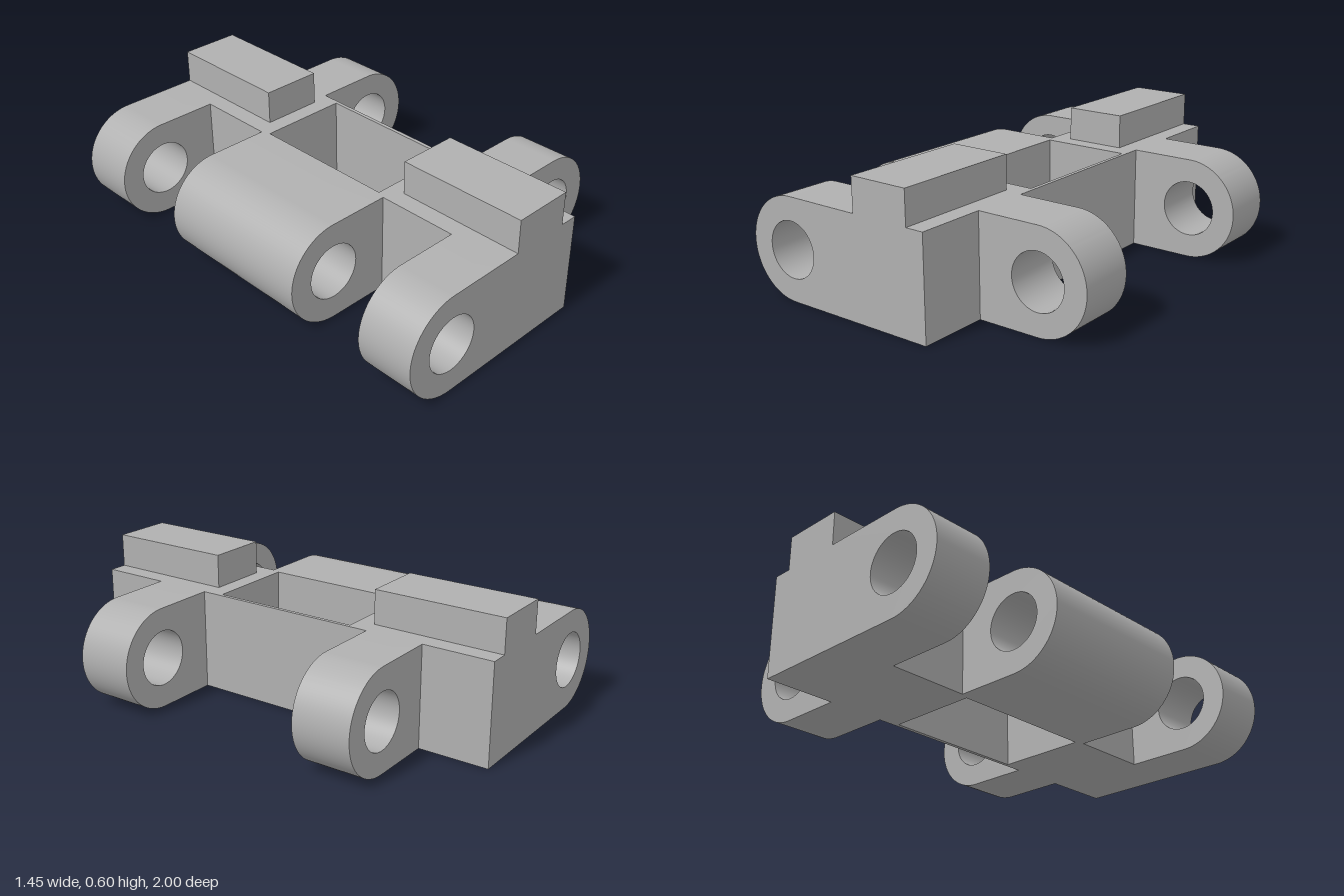
import * as THREE from 'three';
import { toCreasedNormals } from 'three/addons/utils/BufferGeometryUtils.js';

const HEIGHT = 0.45, R = HEIGHT / 2, PIN_X = 0.498, PIN_R = 0.123;
const LEFT = -0.22, RIGHT = 0.217;

export function createModel() {
  const model = new THREE.Group();
  model.name = 'trackLink';
  const grey = new THREE.MeshStandardMaterial({ name: 'plain grey', color: 0xb0b0b0 });

  const add = (name, geometry) => {
    const mesh = new THREE.Mesh(geometry, grey);
    mesh.name = name;
    model.add(mesh);
    return mesh;
  };

  // Central frame with a rectangular window, drawn in plan and extruded upwards
  const rect = (Type, x0, x1, z0, z1) => new Type([
    new THREE.Vector2(x0, -z1), new THREE.Vector2(x1, -z1),
    new THREE.Vector2(x1, -z0), new THREE.Vector2(x0, -z0),
  ]);
  const plan = rect(THREE.Shape, LEFT, RIGHT, -1, 1);
  plan.holes.push(rect(THREE.Path, -0.205, 0.2, -0.337, 0.337));
  const frame = new THREE.ExtrudeGeometry(plan, { depth: HEIGHT, bevelEnabled: false });
  add('frame', frame.rotateX(-Math.PI / 2));

  // Round-ended hinge knuckle with a pin hole; side is +1 or -1 along x
  const addKnuckle = (name, side, z0, z1) => {
    const root = side > 0 ? RIGHT : LEFT;
    const start = side > 0 ? -Math.PI / 2 : Math.PI / 2;
    const shape = new THREE.Shape();
    shape.moveTo(root, R - side * R);
    shape.lineTo(side * PIN_X, R - side * R);
    shape.absarc(side * PIN_X, R, R, start, start + Math.PI, false);
    shape.lineTo(root, R + side * R);
    shape.closePath();
    const pinHole = new THREE.Path();
    pinHole.absarc(side * PIN_X, R, PIN_R, 0, Math.PI * 2, true);
    shape.holes.push(pinHole);
    const geometry = new THREE.ExtrudeGeometry(shape, {
      depth: z1 - z0, bevelEnabled: false, curveSegments: 32,
    });
    add(name, toCreasedNormals(geometry.translate(0, 0, z0), 0.5));
  };

  addKnuckle('middleKnuckle', -1, -0.375, 0.375);
  for (const [end, s] of [['front', 1], ['back', -1]]) {
    const span = (a, b) => (s > 0 ? [a, b] : [-b, -a]);
    addKnuckle(end + 'OuterKnuckle', -1, ...span(0.74, 1));
    addKnuckle(end + 'InnerKnuckle', 1, ...span(0.427, 0.687));

    // Raised guide block on top of the frame
    const guide = add(end + 'Guide', new THREE.BoxGeometry(0.274, 0.152, 0.587));
    guide.position.set(-0.002, HEIGHT + 0.074, s * (1 - 0.587 / 2));
  }

  return model;
}
